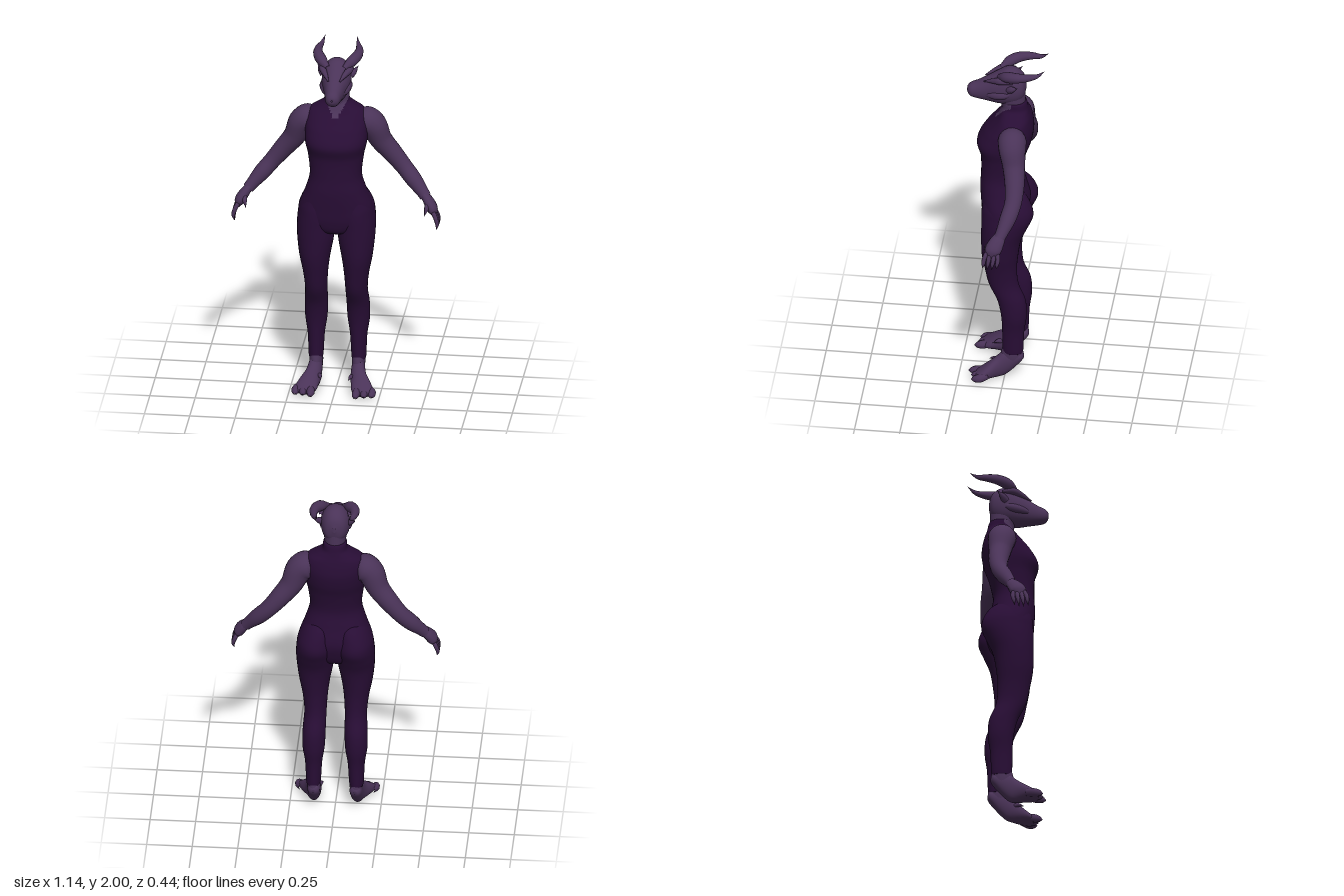
import * as THREE from 'three';
import { mergeVertices } from 'three/addons/utils/BufferGeometryUtils.js';

const skin = new THREE.MeshStandardMaterial({ color: 0x4a3358 });
skin.name = 'dusky violet skin';
const suit = new THREE.MeshStandardMaterial({ color: 0x280d35 });
suit.name = 'dark purple suit';

// Catmull-Rom blend between rows of numbers
function blend(rows, t) {
  const n = rows.length - 1;
  const i = Math.min(Math.floor(t), n - 1), f = t - i;
  const p0 = rows[Math.max(i - 1, 0)], p1 = rows[i], p2 = rows[i + 1], p3 = rows[Math.min(i + 2, n)];
  return p1.map((b, k) => {
    const a = p0[k], c = p2[k], d = p3[k];
    return b + 0.5 * f * (c - a + f * (2 * a - 5 * b + 4 * c - d + f * (3 * (b - c) + d - a)));
  });
}

// Skins oval cross-sections [position, centre x, half width, max, min], position ascending.
// axis 'y': max/min are front/back; axis 'z': max/min are top/bottom.
function loft(name, axis, rows, { mat = suit, segs = 32, steps = 6, power = 1, isSkin = null } = {}) {
  const pos = [], main = [], other = [];
  const count = (rows.length - 1) * steps;
  const bend = v => Math.sign(v) * Math.abs(v) ** power;
  for (let i = 0; i <= count; i++) {
    const [p, cx, rx, hi, lo] = blend(rows, i / steps);
    for (let j = 0; j < segs; j++) {
      const a = j / segs * Math.PI * 2;
      const x = cx + Math.max(rx, 0.001) * bend(Math.cos(a));
      const w = (hi + lo) / 2 + (hi - lo) / 2 * bend(Math.sin(a));
      pos.push(x, axis === 'y' ? p : w, axis === 'y' ? w : p);
    }
  }
  for (let i = 0; i < count; i++) for (let j = 0; j < segs; j++) {
    const a = i * segs + j, b = i * segs + (j + 1) % segs, c = a + segs, d = b + segs;
    const quad = axis === 'y' ? [a, c, b, b, c, d] : [a, b, c, b, d, c];
    const mid = [0, 1, 2].map(k => (pos[a * 3 + k] + pos[d * 3 + k]) / 2);
    (isSkin && isSkin(...mid) ? other : main).push(...quad);
  }
  const g = new THREE.BufferGeometry();
  g.setAttribute('position', new THREE.Float32BufferAttribute(pos, 3));
  g.setIndex([...main, ...other]);
  g.computeVertexNormals();
  if (isSkin) {
    g.addGroup(0, main.length, 0);
    g.addGroup(main.length, other.length, 1);
  }
  const mesh = new THREE.Mesh(g, isSkin ? [mat, skin] : mat);
  mesh.name = name;
  return mesh;
}

// Tapered tube through [x, y, z, radius]; stretch widens its cross-section per axis
function limb(name, s, pts, { segs = 12, steps = 6, stretch = [1, 1, 1] } = {}) {
  const curve = new THREE.CatmullRomCurve3(pts.map(p => new THREE.Vector3(p[0] * s, p[1], p[2])));
  const n = (pts.length - 1) * steps;
  let g = new THREE.TubeGeometry(curve, n, 1, segs);
  const pos = g.attributes.position, v = new THREE.Vector3(), k = new THREE.Vector3(...stretch);
  for (let i = 0; i <= n; i++) {
    const c = curve.getPointAt(i / n);
    const r = Math.max(blend(pts, curve.getUtoTmapping(i / n) * (pts.length - 1))[3], 0.001);
    for (let j = 0; j <= segs; j++) {
      const q = i * (segs + 1) + j;
      v.fromBufferAttribute(pos, q).sub(c).multiplyScalar(r).multiply(k).add(c);
      pos.setXYZ(q, v.x, v.y, v.z);
    }
  }
  g.deleteAttribute('uv');
  g.deleteAttribute('normal');
  g = mergeVertices(g, 1e-5);
  g.computeVertexNormals();
  const mesh = new THREE.Mesh(g, skin);
  mesh.name = name;
  return mesh;
}

export function createModel() {
  const model = new THREE.Group();
  model.name = 'hornedFigure';

  // Sleeveless suit body, with an open V at the throat
  model.add(loft('torso', 'y', [
    [0.93, 0, 0.03, 0.05, -0.03], [0.96, 0, 0.12, 0.11, -0.08], [1.02, 0, 0.2, 0.132, -0.11],
    [1.1, 0, 0.202, 0.14, -0.125], [1.2, 0, 0.166, 0.146, -0.1], [1.29, 0, 0.143, 0.142, -0.083],
    [1.4, 0, 0.153, 0.145, -0.105], [1.48, 0, 0.17, 0.165, -0.132], [1.55, 0, 0.173, 0.13, -0.145],
    [1.6, 0, 0.17, 0.088, -0.142], [1.645, 0, 0.152, 0.05, -0.132], [1.675, 0, 0.105, 0.034, -0.122],
    [1.7, 0, 0.07, 0.026, -0.115], [1.74, 0, 0.063, 0.02, -0.104], [1.742, 0, 0.04, 0, -0.08],
  ], { segs: 72, steps: 9, power: 0.88, isSkin: (x, y, z) => z > -0.03 && Math.abs(x) < 0.6 * (y - 1.61) }));

  // Neck and long-muzzled head
  model.add(loft('neck', 'y', [
    [1.66, 0, 0.055, 0.025, -0.1], [1.72, 0, 0.057, 0.034, -0.1],
    [1.78, 0, 0.062, 0.05, -0.1], [1.86, 0, 0.06, 0.03, -0.1],
  ], { mat: skin }));
  model.add(loft('head', 'z', [
    [-0.106, 0, 0.01, 1.86, 1.83], [-0.09, 0, 0.05, 1.91, 1.77], [-0.05, 0, 0.074, 1.945, 1.735],
    [0, 0, 0.081, 1.95, 1.725], [0.05, 0, 0.074, 1.922, 1.725], [0.11, 0, 0.057, 1.883, 1.735],
    [0.16, 0, 0.046, 1.853, 1.743], [0.2, 0, 0.037, 1.834, 1.754], [0.218, 0, 0.02, 1.815, 1.775],
    [0.221, 0, 0.003, 1.8, 1.79],
  ], { mat: skin, power: 0.95 }));

  for (const s of [1, -1]) {
    const side = new THREE.Group();
    side.name = s > 0 ? 'leftSide' : 'rightSide';
    model.add(side);

    // Swept-back horn, brow ridge, cheek and ear
    side.add(limb('horn', s, [
      [0.045, 1.915, 0.04, 0.015], [0.082, 1.94, -0.005, 0.03], [0.108, 1.955, -0.06, 0.028],
      [0.112, 1.963, -0.12, 0.021], [0.1, 1.972, -0.175, 0.012], [0.088, 2, -0.217, 0.001],
    ]));
    side.add(limb('brow', s, [
      [0.03, 1.87, 0.125, 0.004], [0.055, 1.892, 0.07, 0.015], [0.076, 1.905, 0.02, 0.02], [0.08, 1.9, -0.04, 0.008],
    ], { segs: 8 }));
    side.add(limb('cheek', s, [
      [0.04, 1.79, 0.13, 0.006], [0.055, 1.8, 0.07, 0.024], [0.064, 1.81, 0.01, 0.026], [0.06, 1.83, -0.05, 0.006],
    ], { segs: 8 }));
    side.add(limb('ear', s, [
      [0.07, 1.85, -0.02, 0.022], [0.092, 1.868, -0.04, 0.016], [0.112, 1.89, -0.07, 0.001],
    ], { segs: 8 }));

    // Bare arm
    side.add(limb('arm', s, [
      [0.11, 1.585, -0.045, 0.05], [0.15, 1.582, -0.046, 0.076], [0.192, 1.555, -0.05, 0.076],
      [0.238, 1.46, -0.065, 0.062], [0.3, 1.378, -0.077, 0.054], [0.362, 1.3, -0.076, 0.047],
      [0.418, 1.235, -0.055, 0.045], [0.467, 1.178, -0.03, 0.035], [0.49, 1.15, -0.017, 0.032],
    ], { segs: 20 }));

    // Clawed hand
    side.add(limb('palm', s, [
      [0.475, 1.168, -0.025, 0.026], [0.508, 1.13, -0.002, 0.036],
      [0.533, 1.09, 0.015, 0.037], [0.545, 1.06, 0.022, 0.018],
    ], { stretch: [0.75, 0.9, 1.25] }));
    [-0.017, 0.008, 0.033, 0.058].forEach((z, i) => side.add(limb('finger' + (i + 1), s, [
      [0.531, 1.095, 0.016 + (z - 0.02) * 0.6, 0.013], [0.553, 1.055, z, 0.0125],
      [0.562, 1.02, z + 0.005, 0.01], [0.557, 0.978 + Math.abs(i - 1.5) * 0.01, z + 0.01, 0.001],
    ], { segs: 8 })));
    side.add(limb('thumb', s, [
      [0.51, 1.13, 0.015, 0.018], [0.502, 1.105, 0.045, 0.014], [0.492, 1.07, 0.07, 0.001],
    ], { segs: 8 }));

    // Trouser leg, rounded into the hip and seat
    side.add(loft('trouserLeg', 'y', [
      [0.168, 0.118, 0.034, 0.005, -0.094], [0.17, 0.118, 0.04, 0.012, -0.102], [0.3, 0.117, 0.047, 0.014, -0.108],
      [0.4, 0.117, 0.061, 0.02, -0.121], [0.5, 0.115, 0.063, 0.042, -0.114], [0.6, 0.111, 0.061, 0.088, -0.076],
      [0.7, 0.113, 0.069, 0.11, -0.067], [0.8, 0.116, 0.085, 0.127, -0.075], [0.9, 0.113, 0.1, 0.13, -0.092],
      [0.98, 0.112, 0.105, 0.13, -0.125], [1.05, 0.108, 0.105, 0.13, -0.155], [1.11, 0.105, 0.097, 0.125, -0.148],
      [1.18, 0.09, 0.075, 0.11, -0.108], [1.23, 0.08, 0.02, 0.04, -0.04],
    ].map(r => [r[0], r[1] * s, ...r.slice(2)])));

    // Bare foot with raised heel
    side.add(loft('ankle', 'y', [
      [0.08, 0.118, 0.03, 0.02, -0.07], [0.13, 0.117, 0.036, 0.025, -0.102], [0.2, 0.118, 0.037, 0.008, -0.098],
    ].map(r => [r[0], r[1] * s, ...r.slice(2)]), { mat: skin }));
    side.add(loft('foot', 'z', [
      [-0.106, 0.115, 0.008, 0.145, 0.125], [-0.09, 0.115, 0.03, 0.17, 0.1], [-0.04, 0.117, 0.036, 0.18, 0.042],
      [0, 0.12, 0.04, 0.17, 0.008], [0.035, 0.127, 0.046, 0.135, 0], [0.08, 0.145, 0.056, 0.098, 0],
      [0.12, 0.156, 0.06, 0.066, 0.002], [0.148, 0.16, 0.045, 0.045, 0.006], [0.155, 0.16, 0.01, 0.03, 0.015],
    ].map(r => [r[0], r[1] * s, ...r.slice(2)]), { mat: skin }));
    [[0.125, 0.198], [0.168, 0.18], [0.21, 0.175]].forEach(([x, z], i) => side.add(limb('toe' + (i + 1), s, [
      [0.155 + (x - 0.155) * 0.6, 0.035, 0.09, 0.022], [x, 0.027, z - 0.045, 0.023],
      [x, 0.022, z - 0.015, 0.016], [x, 0.02, z, 0.002],
    ], { segs: 10 })));
    side.add(limb('dewclaw', s, [
      [0.105, 0.075, 0.03, 0.016], [0.085, 0.085, 0.06, 0.012], [0.075, 0.075, 0.09, 0.001],
    ], { segs: 8 }));
  }
  return model;
}
